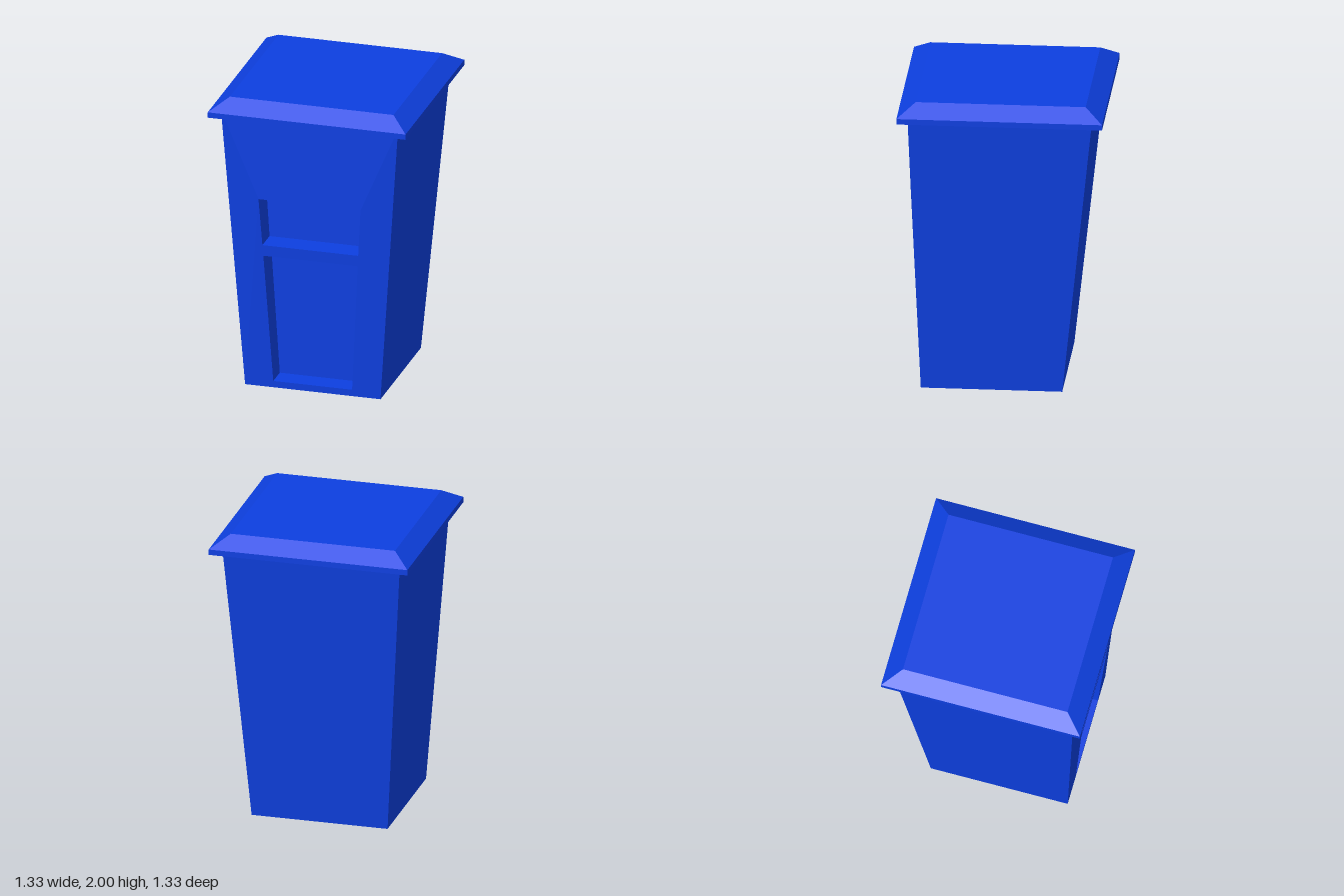
import * as THREE from 'three';

const material = new THREE.MeshStandardMaterial({ color: 0x0d3fe0, flatShading: true });

// Collects flat polygons (corners counter-clockwise) into one geometry
function polygonGeometry(polygons) {
  const positions = [];
  for (const p of polygons) {
    for (let i = 1; i < p.length - 1; i++) positions.push(...p[0], ...p[i], ...p[i + 1]);
  }
  const geometry = new THREE.BufferGeometry();
  geometry.setAttribute('position', new THREE.Float32BufferAttribute(positions, 3));
  geometry.computeVertexNormals();
  return geometry;
}

function addMesh(group, name, geometry) {
  const mesh = new THREE.Mesh(geometry, material);
  mesh.name = name;
  group.add(mesh);
}

const mirror = ([x, y, z]) => [-x, y, z];

export function createModel() {
  const group = new THREE.Group();
  group.name = 'wasteBin';

  // Tapered body corners on the +x side
  const bottomFront = [0.455, 0, 0.525];
  const bottomBack = [0.455, 0, -0.39];
  const topFront = [0.595, 1.92, 0.6];
  const topBack = [0.595, 1.92, -0.595];

  // Side, back and bottom walls
  const side = [bottomFront, bottomBack, topBack, topFront];
  addMesh(group, 'bodyWalls', polygonGeometry([
    side,
    side.map(mirror).reverse(),
    [bottomBack, mirror(bottomBack), mirror(topBack), topBack],
    [mirror(bottomBack), bottomBack, bottomFront, mirror(bottomFront)],
  ]));

  // Front wall: slightly proud centre panel with two openings
  const panel = [[0.343, 1.33], [0.322, 1.005], [0.317, 0.93], [0.265, 0.045]]
    .map(([x, y]) => [x, y, 0.525 + 0.075 * y / 1.33]);
  const [upperTop, upperBottom, lowerTop, lowerBottom] = panel;
  const band = (low, high) => [mirror(low), low, high, mirror(high)];
  const flank = [bottomFront, topFront, ...panel];
  addMesh(group, 'frontWall', polygonGeometry([
    band(upperTop, topFront),
    band(lowerTop, upperBottom),
    band(bottomFront, lowerBottom),
    flank,
    // Mirrored flank keeps its fan centred on the bottom corner
    [bottomFront, ...[topFront, ...panel].reverse()].map(mirror),
  ]));

  // Recessed pockets behind the openings
  const addPocket = (name, low, high, zLow, zHigh) => {
    const front = band(low, high);
    const back = band([low[0], low[1], zLow], [high[0], high[1], zHigh]);
    const walls = front.map((p, i) => {
      const j = (i + 1) % 4;
      return [p, front[j], back[j], back[i]];
    });
    addMesh(group, name, polygonGeometry([back, ...walls]));
  };
  addPocket('upperPocket', upperBottom, upperTop, 0.42, 0.42);
  addPocket('lowerPocket', lowerBottom, lowerTop, 0.38, 0.4);

  // Square lid with a hanging rim and bevelled top
  const profile = [
    [0, 1.92], [0.645, 1.92], [0.645, 1.885], [0.665, 1.885],
    [0.665, 1.922], [0.55, 2], [0, 2],
  ].map(([half, y]) => new THREE.Vector2(half * Math.SQRT2, y));
  const lid = new THREE.LatheGeometry(profile, 4, Math.PI / 4).toNonIndexed();
  lid.computeVertexNormals();
  addMesh(group, 'lid', lid);

  return group;
}
